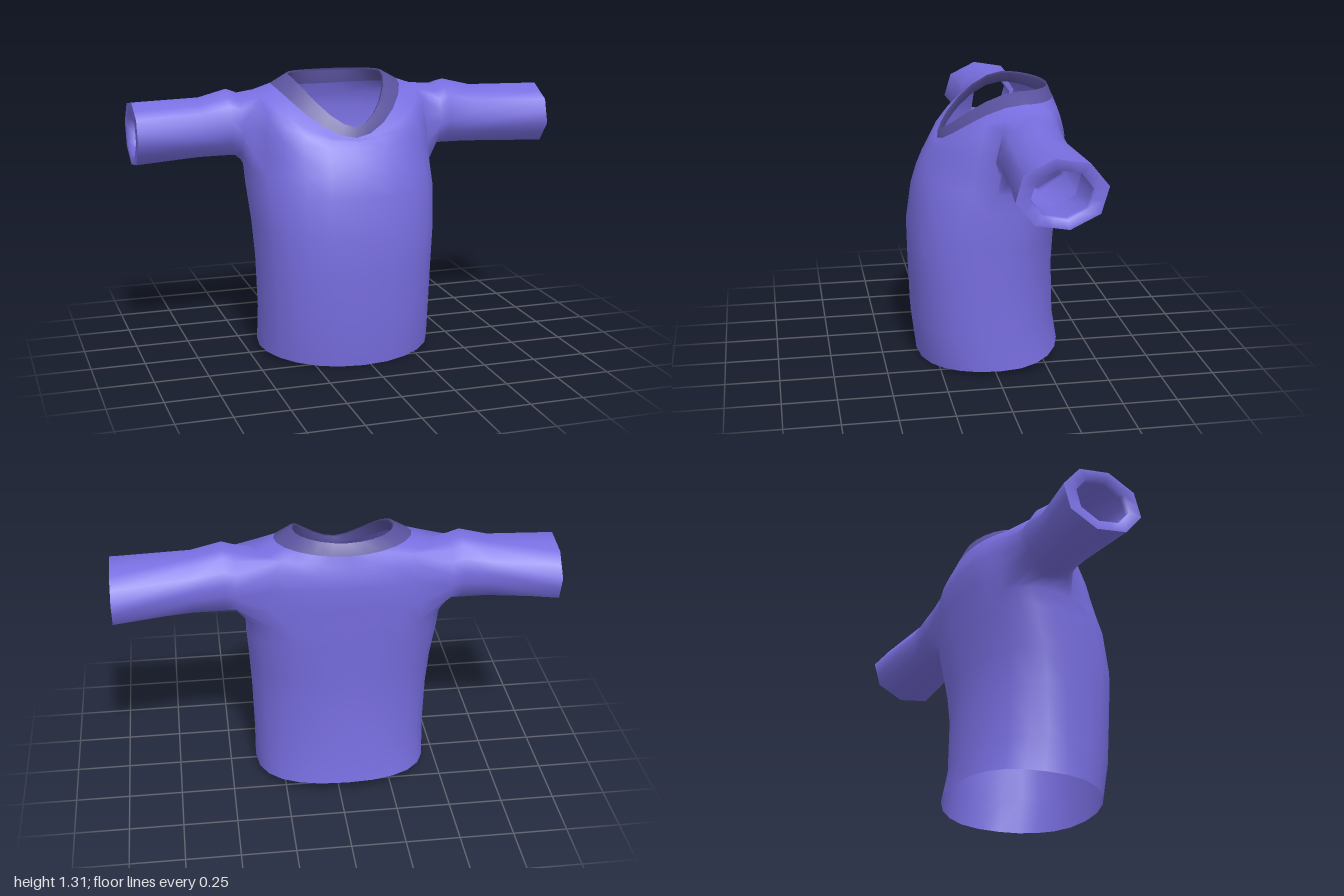
import * as THREE from 'three';

const COLS = 24;
const body = new THREE.MeshStandardMaterial({ color: 0x786ee0, side: THREE.DoubleSide });
const trim = new THREE.MeshStandardMaterial({ color: 0x59519c, side: THREE.DoubleSide });

// Cross-sections from hem to neck:
// [halfWidth, sideZ, frontZ, backZ, sideY, frontY, backY, frontRoundness, backRoundness]
const TORSO = [
  [0.413, -0.01, 0.33, -0.35, 0.027, 0.0, 0.06, 0.93, 0.88],
  [0.413, -0.01, 0.355, -0.33, 0.2, 0.2, 0.2, 0.85, 1.0],
  [0.42, -0.02, 0.362, -0.32, 0.45, 0.45, 0.45, 0.8, 0.98],
  [0.43, -0.04, 0.365, -0.325, 0.62, 0.62, 0.62, 0.78, 0.92],
  [0.444, -0.1, 0.34, -0.34, 0.8, 0.8, 0.8, 0.79, 0.86],
  [0.446, -0.14, 0.315, -0.345, 0.89, 0.89, 0.9, 0.83, 0.84],
  [0.443, -0.14, 0.285, -0.352, 0.97, 0.96, 1.0, 0.84, 0.84],
  [0.44, -0.14, 0.255, -0.36, 1.08, 1.01, 1.11, 0.84, 0.84],
  [0.425, -0.14, 0.238, -0.345, 1.18, 1.035, 1.17, 0.88, 0.88],
  [0.395, -0.14, 0.225, -0.332, 1.235, 1.045, 1.21, 0.95, 0.95],
  [0.31, -0.13, 0.217, -0.32, 1.265, 1.053, 1.25, 1.1, 1.03],
];
const COLLAR = [
  TORSO[10],
  [0.23, -0.13, 0.205, -0.298, 1.31, 1.1, 1.303, 1.13, 1.03],
  [0.22, -0.13, 0.195, -0.29, 1.3, 1.095, 1.29, 1.13, 1.03],
  [0.27, -0.13, 0.195, -0.3, 1.25, 1.06, 1.23, 1.13, 1.03],
];
// Sleeve octagons: [x, centreY, radiusY, centreZ, radiusZ, sideways shift]
const SLEEVE = [
  [0.485, 1.083, 0.155, -0.135, 0.163, -0.03],
  [0.535, 1.093, 0.164, -0.138, 0.155, -0.03],
  [0.67, 1.076, 0.147, -0.137, 0.152, -0.025],
  [1.0, 1.062, 0.152, -0.148, 0.196, 0],
];
const CUFF = [
  SLEEVE[3],
  [1.0, 1.06, 0.107, -0.148, 0.134, 0],
  [0.97, 1.06, 0.105, -0.148, 0.132, 0],
  [0.8, 1.065, 0.12, -0.145, 0.13, -0.01],
];
// Armhole: rows 5-9 and four columns around each side
const ROW0 = 5, ROW1 = 9, COL0 = -3, COL1 = 1;
const sideColumn = (side, o) => ((side > 0 ? o : COLS / 2 - o) + COLS) % COLS;

function torsoRing([w, zs, zf, zb, ys, yf, yb, pf, pb]) {
  return Array.from({ length: COLS }, (_, j) => {
    const a = (j / COLS) * Math.PI * 2, c = Math.cos(a), s = Math.sin(a);
    const [z, y, p] = s > 0 ? [zf, yf, pf] : [zb, yb, pb];
    return [
      -0.035 + w * Math.sign(c) * Math.abs(c) ** p,
      ys + (y - ys) * s * s,
      zs + (z - zs) * Math.abs(s) ** p,
    ];
  });
}

// Sixteen points on a slightly rolled octagon, starting at the lower back
function sleeveRing([x, yc, ry, zc, rz, shift], side) {
  const corner = (i) => {
    const a = Math.PI * 1.25 - 0.17 + (i * Math.PI) / 8;
    return [side * x + shift, yc + ry * Math.sin(a), zc + rz * Math.cos(a)];
  };
  return Array.from({ length: 16 }, (_, i) => {
    if (i % 2 === 0) return corner(i);
    const a = corner(i - 1), b = corner(i + 1);
    return a.map((v, k) => (v + b[k]) / 2);
  });
}

// Adds closed rings to a surface; rings of existing indices can be joined too
function makeSurface() {
  const pos = [], index = [];
  const addRing = (ring) => ring.map((p) => pos.push(...p) / 3 - 1);
  function join(lower, upper, flip = false, skip = () => false) {
    const n = lower.length;
    for (let j = 0; j < n; j++) {
      if (skip(j)) continue;
      const k = (j + 1) % n;
      const [a, b, c, d] = [lower[j], lower[k], upper[k], upper[j]];
      if (flip) index.push(a, b, c, a, c, d);
      else index.push(a, d, c, a, c, b);
    }
  }
  function toMesh(name, material) {
    const g = new THREE.BufferGeometry();
    g.setAttribute('position', new THREE.Float32BufferAttribute(pos, 3));
    g.setIndex(index);
    g.computeVertexNormals();
    const mesh = new THREE.Mesh(g, material);
    mesh.name = name;
    return mesh;
  }
  return { addRing, join, toMesh };
}

function loft(name, rings, material, flip) {
  const s = makeSurface();
  const ids = rings.map(s.addRing);
  for (let i = 1; i < ids.length; i++) s.join(ids[i - 1], ids[i], flip);
  return s.toMesh(name, material);
}

// Torso with two armholes, each continued outward into a sleeve
function buildBody() {
  const s = makeSurface();
  const rows = TORSO.map((r) => s.addRing(torsoRing(r)));
  const holes = new Set();
  for (let o = COL0; o < COL1; o++) {
    holes.add(sideColumn(1, o));
    holes.add(sideColumn(-1, o + 1));
  }
  for (let r = 1; r < rows.length; r++) {
    s.join(rows[r - 1], rows[r], false, (j) => r > ROW0 && r <= ROW1 && holes.has(j));
  }
  for (const side of [1, -1]) {
    const at = (r, o) => rows[r][sideColumn(side, o)];
    let prev = [];
    for (let o = COL0; o < COL1; o++) prev.push(at(ROW0, o));
    for (let r = ROW0; r < ROW1; r++) prev.push(at(r, COL1));
    for (let o = COL1; o > COL0; o--) prev.push(at(ROW1, o));
    for (let r = ROW1; r > ROW0; r--) prev.push(at(r, COL0));
    for (const section of SLEEVE) {
      const next = s.addRing(sleeveRing(section, side));
      s.join(prev, next, side < 0);
      prev = next;
    }
  }
  return s.toMesh('torsoAndSleeves', body);
}

export function createModel() {
  const model = new THREE.Group();
  model.name = 'jumper';
  model.add(buildBody());

  // V-shaped neckband, turned inward at its upper edge
  model.add(loft('collar', COLLAR.map(torsoRing), trim, false));

  // Cuff ends folded into the sleeves
  for (const side of [1, -1]) {
    const rings = CUFF.map((c) => sleeveRing(c, side));
    model.add(loft(side > 0 ? 'leftCuff' : 'rightCuff', rings, body, side < 0));
  }
  return model;
}
